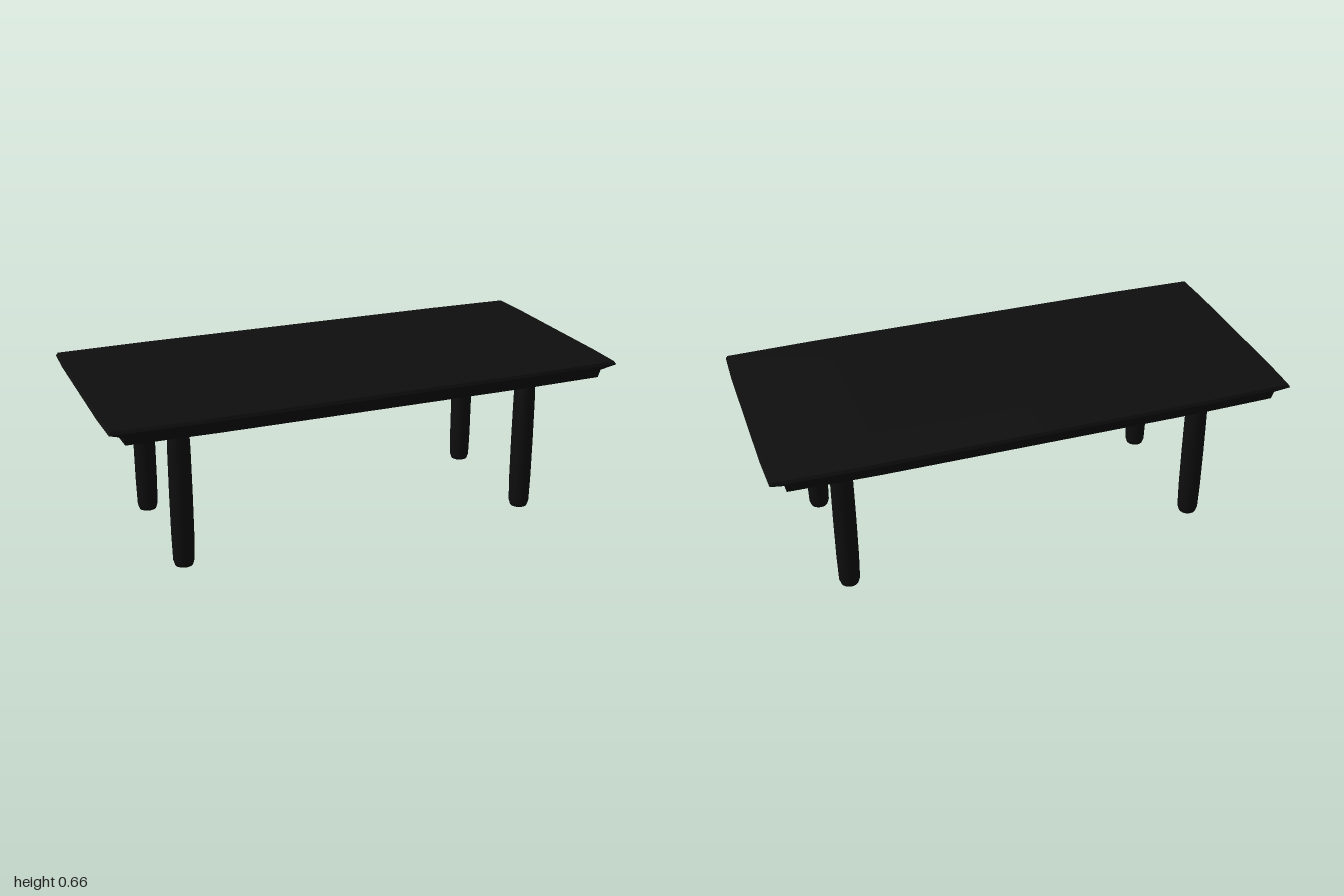
import * as THREE from 'three';

const material = new THREE.MeshStandardMaterial({ color: 0x0e0e0e });
const flatMaterial = new THREE.MeshStandardMaterial({ color: 0x0e0e0e, flatShading: true });

// Rectangle outline whose sides bow out slightly, counterclockwise from above
function outline(hx, hz, y) {
  const steps = [-1, -0.65, 0, 0.65];
  const bow = (t) => (Math.abs(t) === 1 ? 1 : 0);
  const points = [];
  for (const t of steps) points.push([hx - 0.005 * bow(t), y, -t * (hz - 0.008)]);
  for (const t of steps) points.push([-t * (hx - 0.005), y, -(hz - 0.008 * bow(t))]);
  for (const t of steps) points.push([-(hx - 0.005 * bow(t)), y, t * (hz - 0.008)]);
  for (const t of steps) points.push([t * (hx - 0.005), y, hz - 0.008 * bow(t)]);
  return points;
}

// Closed skin through a stack of outlines, from underside to upper side
function loft(sections) {
  const n = 16;
  const vertices = sections.flatMap((s) => outline(...s)).flat();
  const index = [];
  for (let i = 0; i < sections.length - 1; i++) {
    for (let j = 0; j < n; j++) {
      const k = (j + 1) % n;
      const a = i * n + j, b = i * n + k;
      index.push(a, b, b + n, a, b + n, a + n);
    }
  }
  // End caps
  const bottom = sections.length * n, top = bottom + 1, last = bottom - n;
  vertices.push(0, sections[0][2], 0, 0, sections[sections.length - 1][2], 0);
  for (let j = 0; j < n; j++) {
    const k = (j + 1) % n;
    index.push(bottom, k, j, top, last + j, last + k);
  }
  const geometry = new THREE.BufferGeometry();
  geometry.setAttribute('position', new THREE.Float32BufferAttribute(vertices, 3));
  geometry.setIndex(index);
  const faceted = geometry.toNonIndexed();
  faceted.computeVertexNormals();
  return faceted;
}

export function createModel() {
  const table = new THREE.Group();
  table.name = 'table';

  // Gently domed top with an undercut rim: half width, half depth, height
  const top = new THREE.Mesh(loft([
    [0.6, 0.29, 0.579],
    [0.94, 0.438, 0.586],
    [0.945, 0.446, 0.618],
    [1.0, 0.467, 0.64],
    [0.993, 0.462, 0.652],
    [0.6, 0.29, 0.66],
  ]), flatMaterial);
  top.name = 'tableTop';
  table.add(top);

  // Round legs with softened feet, narrowing where they meet the top
  const profile = [
    [0, 0], [0.02, 0.002], [0.034, 0.009], [0.04, 0.028], [0.0425, 0.13],
    [0.043, 0.3], [0.042, 0.47], [0.04, 0.54], [0.037, 0.575], [0.036, 0.6], [0, 0.6],
  ].map(([r, y]) => new THREE.Vector2(r, y));
  const legGeometry = new THREE.LatheGeometry(profile, 24);
  for (const [side, x] of [['Left', 0.714], ['Right', -0.704]]) {
    for (const [end, z] of [['front', 0.258], ['back', -0.276]]) {
      const leg = new THREE.Mesh(legGeometry, material);
      leg.name = `${end}${side}Leg`;
      leg.position.set(x, 0, z);
      table.add(leg);
    }
  }
  return table;
}
